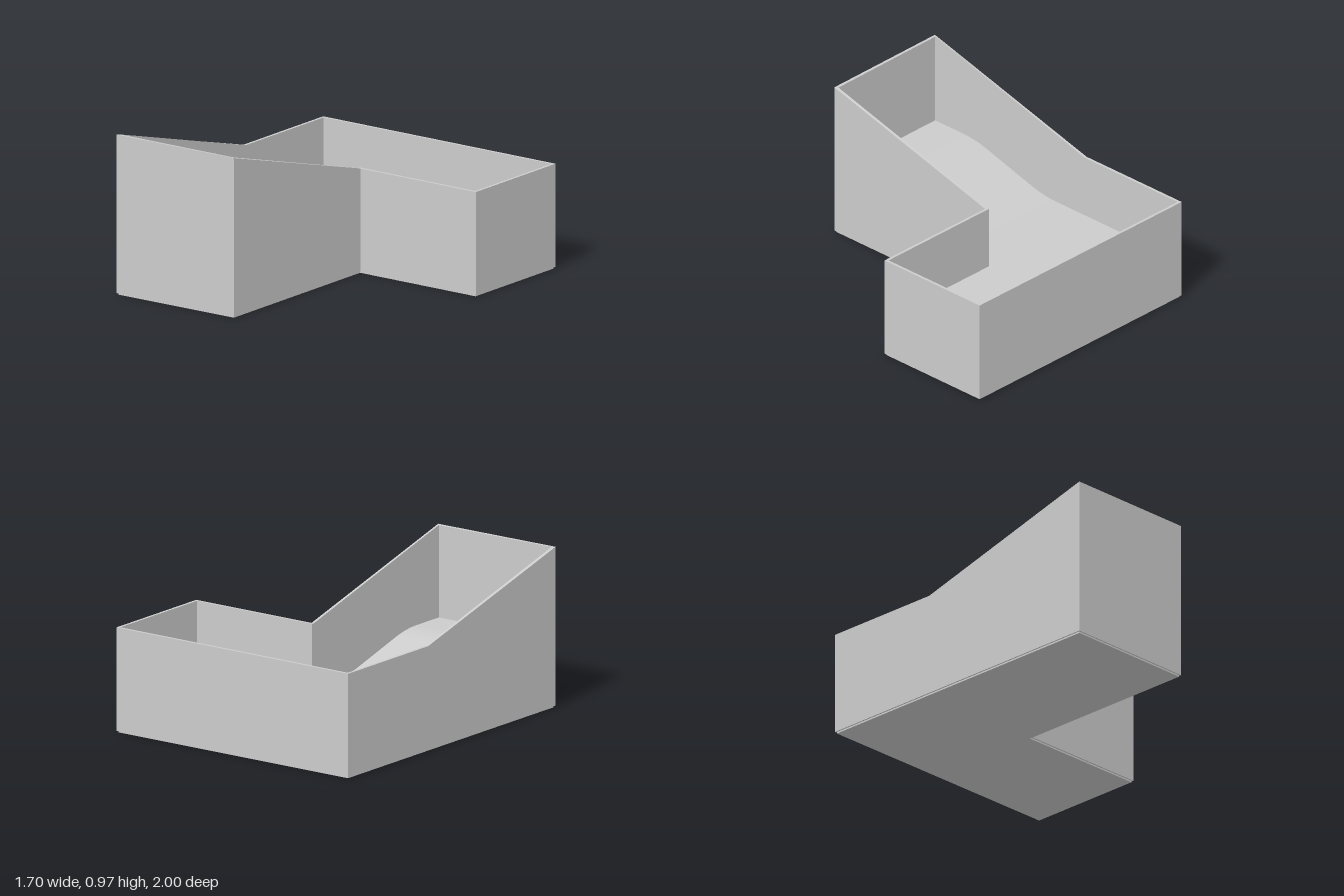
import * as THREE from 'three';

const material = new THREE.MeshStandardMaterial({ color: 0xcccccc, side: THREE.DoubleSide });
const CREASE = -0.23; // z where the rim starts to climb
const LOW = 0.25, HIGH = 0.41; // floor levels

// Corners (x, z) of the L-shaped plan, moved inwards by t
function plan(t) {
  return [
    [-0.85 + t, -1 + t], [0.85 - t, -1 + t], [0.85 - t, CREASE - t], [0.005 - t, CREASE - t],
    [0.005 - t, CREASE], [0.005 - t, 0.99 - t], [-0.85 + t, 0.998 - t], [-0.85 + t, CREASE],
  ].filter(([x, z], i, a) => i === 0 || x !== a[i - 1][0] || z !== a[i - 1][1])
    .map(([x, z]) => new THREE.Vector2(x, -z));
}

function extrudeUp(shape, depth, y) {
  return new THREE.ExtrudeGeometry(shape, { depth, bevelEnabled: false })
    .rotateX(-Math.PI / 2).translate(0, y, 0);
}

function rimHeight(z) {
  if (z <= CREASE) return 0.635;
  return Math.min(0.97, 0.635 + (z - CREASE) * 0.335 / 1.21);
}

// Ramp profile: flat, rounded foot, straight slope, rounded crest, flat
function floorHeight(z) {
  const a = 0.1, b = 0.66, r = 0.1, slope = (HIGH - LOW) / (b - a);
  if (z <= a - r) return LOW;
  if (z < a + r) return LOW + slope * (z - a + r) ** 2 / (4 * r);
  if (z <= b - r) return LOW + slope * (z - a);
  if (z < b + r) return HIGH - slope * (b + r - z) ** 2 / (4 * r);
  return HIGH;
}

export function createModel() {
  const model = new THREE.Group();
  const add = (name, geometry) => {
    const mesh = new THREE.Mesh(geometry, material);
    mesh.name = name;
    model.add(mesh);
  };

  // Thin walls around the plan, with a rim that rises towards the front
  const outline = new THREE.Shape(plan(0));
  outline.holes.push(new THREE.Path(plan(0.017)));
  const walls = extrudeUp(outline, 0.6, 0.01);
  const p = walls.attributes.position;
  for (let i = 0; i < p.count; i++) {
    if (p.getY(i) > 0.3) p.setY(i, rimHeight(p.getZ(i)));
  }
  walls.computeVertexNormals();
  add('walls', walls);

  // Base plate, slightly inset at the back and right
  add('basePlate', extrudeUp(new THREE.Shape(plan(0.008)), 0.012, 0));

  // Level floor at the back
  const z0 = -0.99, z1 = CREASE - 0.012;
  const levelFloor = new THREE.PlaneGeometry(1.68, z1 - z0).rotateX(-Math.PI / 2);
  add('levelFloor', levelFloor.translate(0, LOW, (z0 + z1) / 2));

  // Ramp floor climbing to the front
  const ramp = new THREE.PlaneGeometry(0.834, 0.98 - z1, 1, 60).rotateX(-Math.PI / 2);
  ramp.translate(-0.423, 0, (z1 + 0.98) / 2);
  const q = ramp.attributes.position;
  for (let i = 0; i < q.count; i++) q.setY(i, floorHeight(q.getZ(i)));
  ramp.computeVertexNormals();
  add('rampFloor', ramp);

  return model;
}
